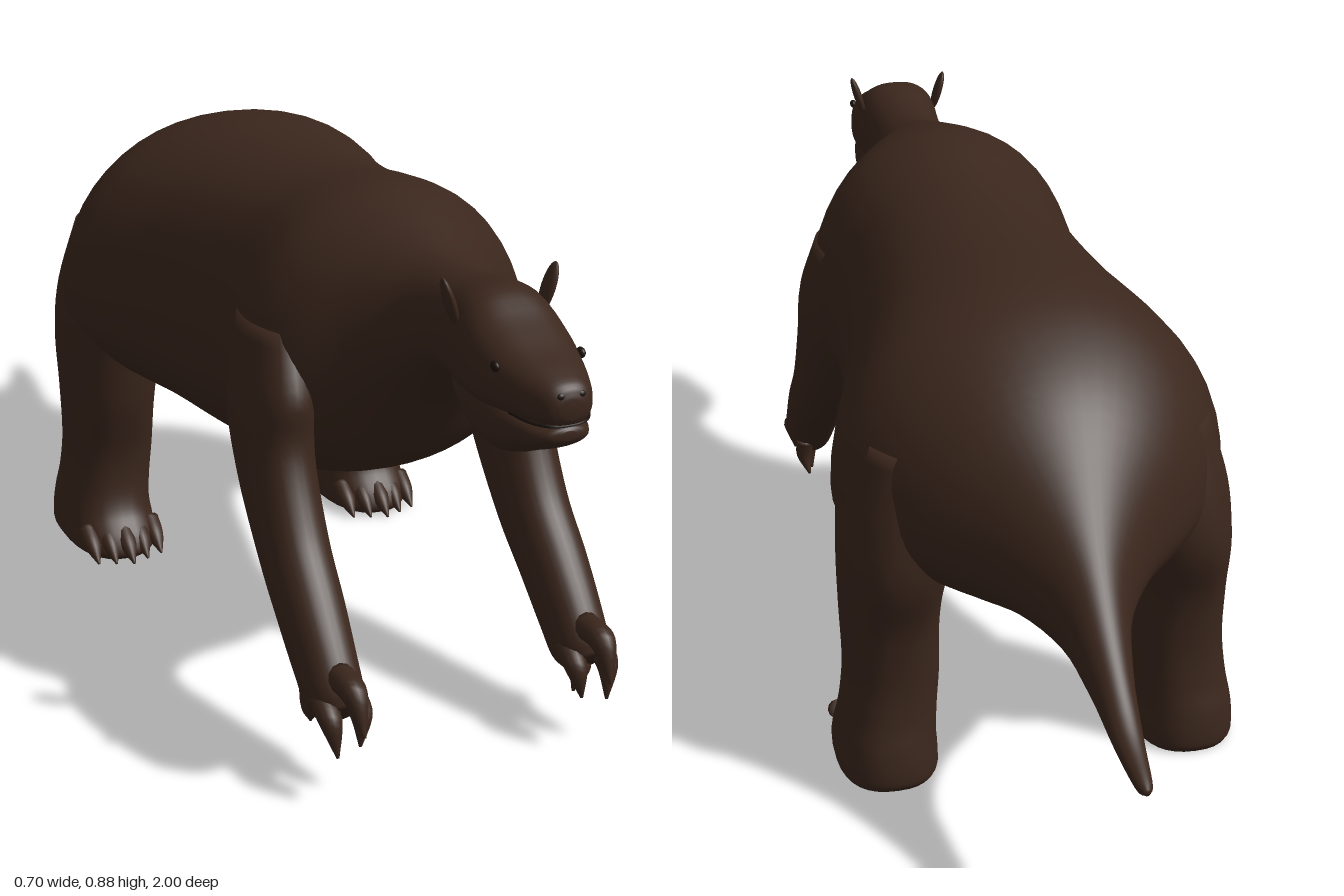
import * as THREE from 'three';

const fur = new THREE.MeshStandardMaterial({ color: 0x3a261c, roughness: 0.9 });
const dark = new THREE.MeshStandardMaterial({ color: 0x1c110c, roughness: 0.8 });

// Smooth closed loft. Each station is [x, y, z, halfWidth, upper, lower, tilt, roundness]:
// tilt 0 lays the ring flat (path runs down), PI/2 stands it up (path runs forward).
function loft(stations, sides = 32, sub = 5) {
  const spline = new THREE.CubicInterpolant(stations.map((_, i) => i), stations.flat(), 8);
  const rings = (stations.length - 1) * sub;
  const pos = [], idx = [], ends = [];
  for (let k = 0; k <= rings; k++) {
    const [x, y, z, w, up, low, tilt, n] = spline.evaluate(k / sub);
    if (k === 0 || k === rings) ends.push([x, y, z]);
    for (let i = 0; i < sides; i++) {
      const a = (i / sides) * Math.PI * 2, c = Math.cos(a), s = Math.sin(a);
      const u = Math.sign(c) * Math.abs(c) ** (2 / n) * w;
      const v = Math.sign(s) * Math.abs(s) ** (2 / n) * (s > 0 ? up : low);
      pos.push(x + u, y + v * Math.sin(tilt), z + v * Math.cos(tilt));
      if (k < rings) {
        const p = k * sides + i, q = k * sides + (i + 1) % sides;
        idx.push(p, q, p + sides, q, q + sides, p + sides);
      }
    }
  }
  const base = pos.length / 3, last = rings * sides;
  pos.push(...ends[0], ...ends[1]);
  for (let i = 0; i < sides; i++) {
    const j = (i + 1) % sides;
    idx.push(base, j, i, base + 1, last + i, last + j);
  }
  const g = new THREE.BufferGeometry();
  g.setAttribute('position', new THREE.Float32BufferAttribute(pos, 3));
  g.setIndex(idx);
  g.computeVertexNormals();
  return g;
}

// Upright section for body and head: z, top, widest height, bottom, half width, roundness
const upright = ([z, top, mid, bottom, w, n]) =>
  [0, mid, z, w, top - mid, mid - bottom, Math.PI / 2, n];

function add(parent, name, geometry, material = fur) {
  const mesh = new THREE.Mesh(geometry, material);
  mesh.name = name;
  parent.add(mesh);
  return mesh;
}

function ball(parent, name, x, y, z, sx, sy, sz, material = fur) {
  const mesh = add(parent, name, new THREE.SphereGeometry(1, 16, 12), material);
  mesh.position.set(x, y, z);
  mesh.scale.set(sx, sy, sz);
  return mesh;
}

// Tapered, bent digit through three points
function digit(parent, name, side, a, b, c, r) {
  const tilt = (p, q) => Math.atan2(q[2] - p[2], p[1] - q[1]);
  const at = (p, s, t) => [side * p[0], p[1], p[2], r * s, r * s, r * s, t, 2];
  add(parent, name, loft([at(a, 1, tilt(a, b)), at(b, 0.85, tilt(a, c)), at(c, 0.12, tilt(b, c))], 12, 6));
}

export function createModel() {
  const model = new THREE.Group();
  model.name = 'animal';

  // Tail, trunk, neck and upper head in one skin
  add(model, 'body', loft([
    [-1.0, 0.328, 0.322, 0.316, 0.006, 2],
    [-0.98, 0.337, 0.324, 0.312, 0.014, 2],
    [-0.9, 0.37, 0.348, 0.325, 0.024, 2],
    [-0.8, 0.447, 0.395, 0.348, 0.037, 2],
    [-0.7, 0.545, 0.45, 0.37, 0.065, 2],
    [-0.6, 0.643, 0.49, 0.378, 0.135, 2],
    [-0.5, 0.732, 0.5, 0.362, 0.23, 2],
    [-0.4, 0.788, 0.5, 0.345, 0.3, 2.05],
    [-0.3, 0.822, 0.5, 0.33, 0.332, 2.1],
    [-0.2, 0.835, 0.5, 0.322, 0.315, 2.15],
    [-0.08, 0.838, 0.52, 0.32, 0.274, 2.2],
    [0.08, 0.845, 0.54, 0.324, 0.245, 2.2],
    [0.2, 0.859, 0.56, 0.342, 0.236, 2.15],
    [0.3, 0.877, 0.57, 0.362, 0.247, 2.1],
    [0.38, 0.882, 0.57, 0.385, 0.25, 2.1],
    [0.46, 0.867, 0.6, 0.435, 0.215, 2],
    [0.53, 0.848, 0.66, 0.525, 0.145, 2],
    [0.6, 0.832, 0.7, 0.605, 0.095, 2],
    [0.69, 0.834, 0.74, 0.675, 0.076, 2.2],
    [0.78, 0.847, 0.75, 0.675, 0.08, 2.5],
    [0.85, 0.818, 0.74, 0.68, 0.081, 2.6],
    [0.91, 0.795, 0.74, 0.69, 0.068, 2.5],
    [0.96, 0.78, 0.735, 0.7, 0.052, 2.4],
    [0.99, 0.768, 0.735, 0.705, 0.036, 2.3],
    [1.0, 0.75, 0.735, 0.72, 0.018, 2],
  ].map(upright), 48, 4));

  // Lower jaw with heavy rear corners, leaving the mouth line above it
  add(model, 'jaw', loft([
    [0.7, 0.73, 0.71, 0.69, 0.045, 2],
    [0.76, 0.73, 0.69, 0.66, 0.065, 2.4],
    [0.83, 0.73, 0.68, 0.635, 0.075, 2.7],
    [0.88, 0.725, 0.68, 0.626, 0.07, 2.7],
    [0.93, 0.712, 0.685, 0.647, 0.057, 2.4],
    [0.965, 0.708, 0.686, 0.663, 0.047, 2.2],
    [0.988, 0.706, 0.69, 0.677, 0.032, 2],
    [0.995, 0.7, 0.692, 0.686, 0.012, 2],
  ].map(upright)));

  // Mouth line
  const mouth = [[-0.057, 0.92], [-0.046, 0.965], [-0.026, 0.988], [0, 0.993],
    [0.026, 0.988], [0.046, 0.965], [0.057, 0.92]].map(([x, z]) => new THREE.Vector3(x, 0.709, z));
  add(model, 'mouth', new THREE.TubeGeometry(new THREE.CatmullRomCurve3(mouth), 30, 0.003, 6), dark);

  for (const side of [1, -1]) {
    const label = side > 0 ? 'left' : 'right';
    const make = (name) => {
      const g = new THREE.Group();
      g.name = label + name;
      model.add(g);
      return g;
    };

    // Face details
    const ear = ball(model, label + 'Ear', side * 0.081, 0.828, 0.77, 0.008, 0.04, 0.017);
    ear.rotation.z = -side * 0.3;
    ball(model, label + 'Eye', side * 0.069, 0.772, 0.895, 0.006, 0.008, 0.01, dark);
    ball(model, label + 'Nostril', side * 0.016, 0.754, 0.993, 0.007, 0.006, 0.005, dark);

    // Hind leg spreading into a broad flat foot
    const hind = make('HindLeg');
    add(hind, 'leg', loft([
      [0.2, 0.62, -0.33, 0.09, 0.12, 0.12],
      [0.22, 0.5, -0.33, 0.105, 0.145, 0.145],
      [0.243, 0.4, -0.335, 0.09, 0.135, 0.145],
      [0.25, 0.3, -0.335, 0.082, 0.122, 0.115],
      [0.25, 0.2, -0.34, 0.08, 0.102, 0.1],
      [0.256, 0.13, -0.345, 0.08, 0.105, 0.1],
      [0.262, 0.08, -0.35, 0.083, 0.125, 0.105],
      [0.263, 0.045, -0.35, 0.086, 0.155, 0.11],
      [0.263, 0.018, -0.35, 0.086, 0.168, 0.11],
      [0.263, 0.005, -0.35, 0.08, 0.16, 0.103],
    ].map(([x, ...r]) => [side * x, ...r, 0, 2.4])));
    for (let i = 0; i < 5; i++) {
      const x = 0.2 + i * 0.031, z = -0.012 * Math.abs(i - 2);
      digit(hind, 'toe', side, [x, 0.05, -0.225 + z], [x, 0.03, -0.19 + z], [x, 0.008, -0.158 + z], 0.018);
    }

    // Front leg reaching forward
    const front = make('FrontLeg');
    add(front, 'leg', loft([
      [0.195, 0.68, 0.36, 0.045, 0.09, 0.09, 0],
      [0.207, 0.56, 0.385, 0.06, 0.12, 0.11, 0.2],
      [0.213, 0.45, 0.425, 0.058, 0.092, 0.09, 0.55],
      [0.215, 0.335, 0.505, 0.055, 0.072, 0.072, 0.75],
      [0.217, 0.26, 0.58, 0.053, 0.064, 0.064, 0.78],
      [0.218, 0.195, 0.642, 0.049, 0.059, 0.06, 0.78],
      [0.218, 0.155, 0.68, 0.045, 0.052, 0.055, 0.78],
      [0.218, 0.135, 0.7, 0.03, 0.035, 0.04, 0.78],
    ].map(([x, ...r]) => [side * x, ...r, 2.2])));
    // Fingers ending in claws
    [
      [[0.217, 0.2, 0.69], [0.217, 0.197, 0.755], [0.215, 0.14, 0.787], 0.024],
      [[0.243, 0.165, 0.68], [0.244, 0.138, 0.725], [0.238, 0.083, 0.738], 0.021],
      [[0.192, 0.165, 0.68], [0.19, 0.138, 0.72], [0.196, 0.09, 0.73], 0.021],
      [[0.222, 0.15, 0.655], [0.222, 0.11, 0.675], [0.216, 0.066, 0.667], 0.021],
      [[0.235, 0.155, 0.62], [0.237, 0.115, 0.626], [0.23, 0.08, 0.61], 0.018],
    ].forEach((f) => digit(front, 'finger', side, ...f));
  }
  return model;
}
